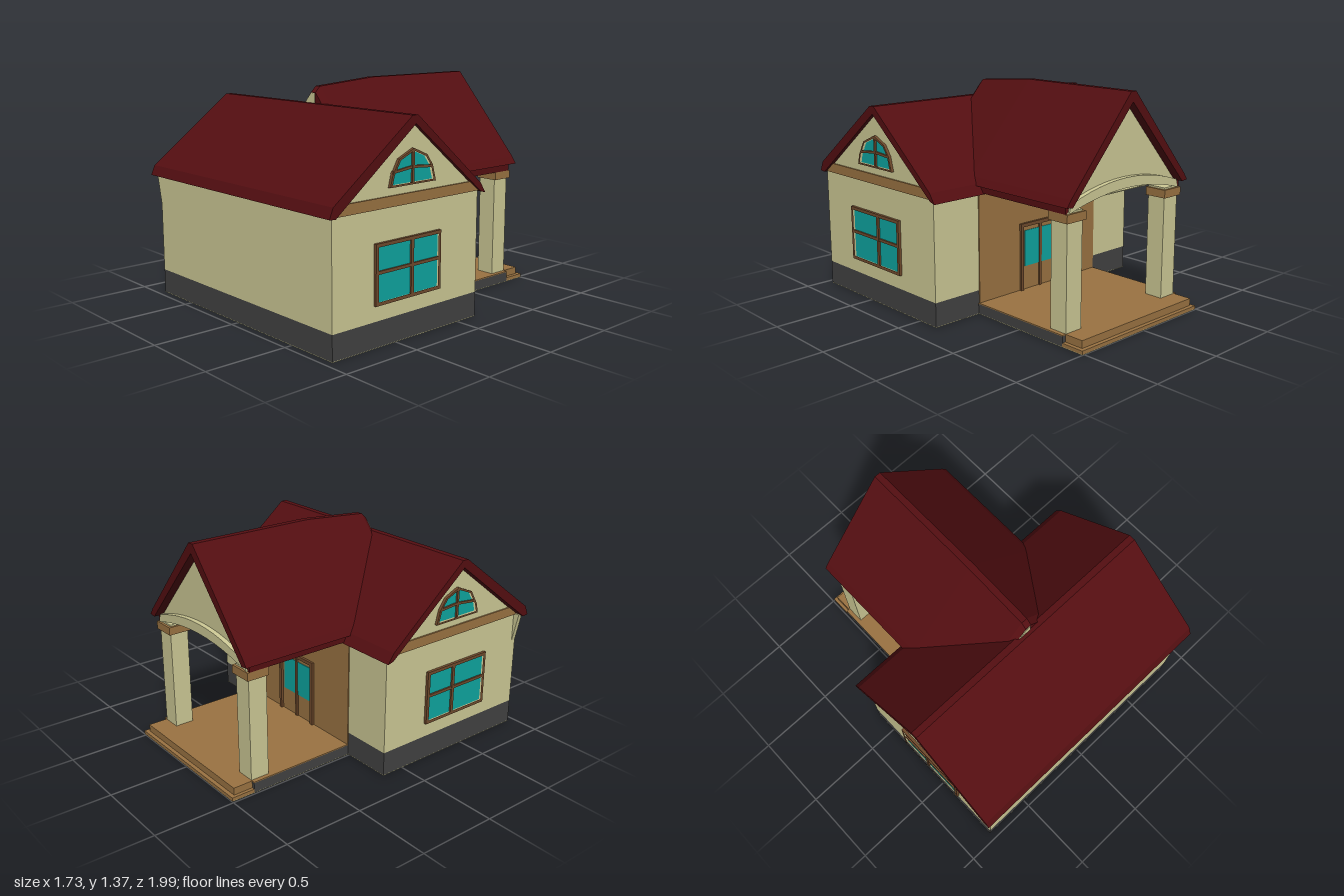
import * as THREE from 'three';

const mat = (name, color) => {
  const m = new THREE.MeshStandardMaterial({ color });
  m.name = name;
  return m;
};

export function createModel() {
  const cream = mat('cream plaster', 0xcdc995);
  const red = mat('dark red roof', 0x540e11);
  const wood = mat('light wood', 0x9a7342);
  const frame = mat('brown frame', 0x704a2c);
  const grey = mat('grey plinth', 0x424242);
  const glass = mat('teal glass', 0x0ea5a0);

  const house = new THREE.Group();
  house.name = 'house';

  const add = (name, geo, material) => {
    const m = new THREE.Mesh(geo, material);
    m.name = name;
    house.add(m);
    return m;
  };
  // Box given by its limits on each axis
  const box = (name, material, [x0, x1], [y0, y1], [z0, z1]) => {
    const g = new THREE.BoxGeometry(x1 - x0, y1 - y0, z1 - z0);
    g.translate((x0 + x1) / 2, (y0 + y1) / 2, (z0 + z1) / 2);
    return add(name, g, material);
  };
  const toShape = (pts, hole) => {
    const s = new THREE.Shape(pts.map(([a, b]) => new THREE.Vector2(a, b)));
    if (hole) s.holes.push(new THREE.Path(hole.map(([a, b]) => new THREE.Vector2(a, b))));
    return s;
  };
  // Prism along z from [x, y] points
  const prismZ = (name, material, pts, z0, z1) => {
    const g = new THREE.ExtrudeGeometry(toShape(pts), { depth: z1 - z0, bevelEnabled: false });
    return add(name, g.translate(0, 0, z0), material);
  };
  // Prism along x from [z, y] points
  const prismX = (name, material, pts, x0, x1, hole) => {
    const flip = (p) => p && p.map(([z, y]) => [-z, y]);
    const g = new THREE.ExtrudeGeometry(toShape(flip(pts), flip(hole)), { depth: x1 - x0, bevelEnabled: false });
    return add(name, g.rotateY(Math.PI / 2).translate(x0, 0, 0), material);
  };

  // Main block: underside, plinth and gabled walls
  const L = -0.81, R = 0.84;
  box('houseUnderside', cream, [L, R], [0, 0.004], [-0.15, 0.955]);
  box('plinth', grey, [L, R], [0.004, 0.15], [-0.15, 0.955]);
  prismX('walls', cream,
    [[0.955, 0.15], [0.955, 0.77], [0.385, 1.2], [-0.15, 0.77], [-0.15, 0.15]], L, R);
  prismZ('wallFlare', cream, [[L, 0.58], [L, 0.765], [-0.85, 0.765]], 0.925, 0.955);

  // Main roof
  prismX('mainRoof', red, [[0.99, 0.76], [0.965, 0.82], [0.41, 1.237], [0.37, 1.237], [-0.15, 0.805],
    [-0.19, 0.745], [-0.15, 0.757], [0.385, 1.19], [0.95, 0.755]], -0.865, 0.865);

  // Porch roof: a chevron whose ridge dips where it meets the main ridge
  const levels = [[-0.89, 0], [-0.08, 0], [0.35, -0.035], [0.385, -0.07]];
  const chevron = [[-0.505, 0.795], [-0.475, 0.838], [-0.01, 1.37], [0.03, 1.37], [0.5, 0.838],
    [0.53, 0.795], [0.485, 0.79], [0.012, 1.31], [-0.46, 0.79]];
  const wing = new THREE.ExtrudeGeometry(toShape(chevron), { depth: 3, steps: 3, bevelEnabled: false });
  const p = wing.attributes.position;
  for (let i = 0; i < p.count; i++) {
    const [z, dy] = levels[Math.round(p.getZ(i))];
    p.setXYZ(i, p.getX(i), p.getY(i) + dy, z);
  }
  wing.computeVertexNormals();
  add('porchRoof', wing, red);
  prismZ('ridgeInfill', cream, [[-0.06, 1.22], [-0.06, 1.24], [-0.005, 1.297], [0.025, 1.297], [0.025, 1.22]], 0.382, 0.389);

  // Side gables: trim band, square window and fan window
  const rect = (z0, z1, y0, y1) => [[z0, y0], [z1, y0], [z1, y1], [z0, y1]];
  const fan = [[0.565, 0.865], [0.55, 0.925], [0.5, 1.012], [0.39, 1.06], [0.29, 1.017], [0.245, 0.955], [0.22, 0.865]];
  const fanHole = fan.map(([z, y]) => [0.392 + (z - 0.392) * 0.9, 0.95 + (y - 0.95) * 0.87]);
  for (const s of [1, -1]) {
    const face = s > 0 ? R : L;
    const out = (d) => (s > 0 ? [face, face + d] : [face - d, face]);
    const side = s > 0 ? 'left' : 'right';
    prismX(side + 'TrimBand', wood, [[0.955, 0.76], [0.88, 0.82], [-0.08, 0.82], [-0.15, 0.76]], ...out(0.01));
    prismX(side + 'WindowFrame', frame, rect(0.17, 0.665, 0.24, 0.58), ...out(0.018), rect(0.19, 0.645, 0.26, 0.56));
    prismX(side + 'WindowGlass', glass, rect(0.185, 0.65, 0.255, 0.565), ...out(0.004));
    box(side + 'WindowUpright', frame, out(0.015), [0.255, 0.565], [0.38, 0.4]);
    box(side + 'WindowCrossbar', frame, out(0.014), [0.41, 0.428], [0.185, 0.65]);
    prismX(side + 'FanFrame', frame, fan, ...out(0.018), fanHole);
    prismX(side + 'FanGlass', glass, fanHole, ...out(0.004));
    box(side + 'FanUpright', frame, out(0.015), [0.87, 1.05], [0.383, 0.398]);
    prismX(side + 'FanCrossbar', frame,
      [[0.55, 0.935], [0.54, 0.95], [0.39, 0.967], [0.245, 0.955], [0.24, 0.94], [0.39, 0.952]], ...out(0.014));
  }

  // Porch floor and steps
  box('porchUnderside', cream, [-0.49, 0.515], [0, 0.004], [-0.999, -0.15]);
  box('porchBase', grey, [-0.49, 0.515], [0.004, 0.064], [-0.85, -0.15]);
  box('porchFloor', wood, [-0.49, 0.515], [0.064, 0.07], [-0.85, -0.15]);
  box('upperStep', wood, [-0.47, 0.49], [0.025, 0.07], [-0.975, -0.85]);
  box('lowerStep', wood, [-0.49, 0.515], [0.004, 0.025], [-1, -0.85]);

  // Porch back wall with door
  box('porchWall', wood, [-0.49, 0.51], [0.07, 0.76], [-0.156, -0.15]);
  for (const x of [-0.16, 0.16]) box('doorPost', frame, [x, x + 0.022], [0.07, 0.5], [-0.172, -0.156]);
  box('doorLintel', frame, [-0.16, 0.182], [0.478, 0.5], [-0.172, -0.156]);
  box('doorGlass', glass, [-0.12, 0.142], [0.22, 0.45], [-0.16, -0.156]);
  box('doorMullion', frame, [0.001, 0.021], [0.07, 0.478], [-0.166, -0.156]);

  // Pillars with caps, side beams and eave boards
  for (const s of [1, -1]) {
    const span = (a, b) => (s > 0 ? [0.012 + a, 0.012 + b] : [0.012 - b, 0.012 - a]);
    box('pillar', cream, span(0.355, 0.475), [0.07, 0.76], [-0.85, -0.73]);
    box('pillarCap', wood, span(0.34, 0.49), [0.7, 0.75], [-0.865, -0.722]);
    box('sideBeam', cream, span(0.43, 0.465), [0.75, 0.8], [-0.85, -0.15]);
    box('eaveBoard', red, span(0.465, 0.49), [0.75, 0.82], [-0.85, -0.15]);
  }
  box('porchCeiling', cream, [-0.43, 0.455], [0.785, 0.79], [-0.8, -0.15]);

  // Porch gable over a shallow arch
  const arc = (y, rise, half) => Array.from({ length: 13 }, (_, i) => {
    const t = -1 + i / 6;
    return [0.012 + half * t, y + rise * (1 - t * t)];
  });
  prismZ('archBand', cream, [...arc(0.75, 0.07, 0.47), ...arc(0.8, 0.08, 0.455).reverse()], -0.86, -0.73);
  prismZ('porchGable', cream, [...arc(0.785, 0.07, 0.475), [0.012, 1.32]], -0.83, -0.77);

  return house;
}
